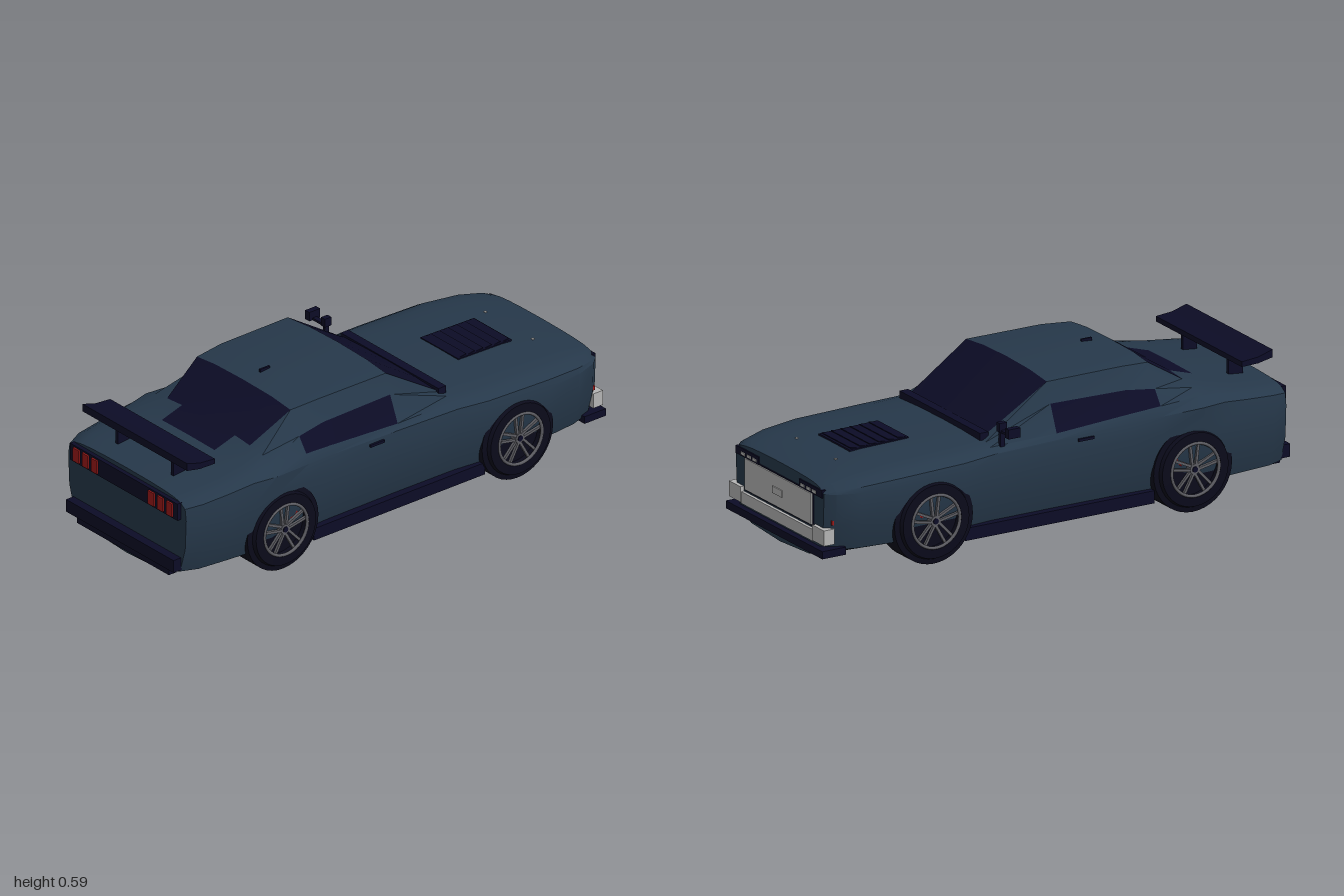
import * as THREE from 'three';
import { toCreasedNormals } from 'three/addons/utils/BufferGeometryUtils.js';

const mat = (name, color) => {
  const m = new THREE.MeshStandardMaterial({ color });
  m.name = name;
  return m;
};

export function createModel() {
  const paint = mat('slate paint', 0x26384a);
  const trim = mat('dark trim and glass', 0x0c0c26);
  const rubber = mat('tyre rubber', 0x0a0a1a);
  const silver = mat('light grey', 0xb4b4b4);
  const rimGrey = mat('rim grey', 0x5c5c62);
  const red = mat('red', 0x9c1a1a);

  const model = new THREE.Group();
  model.name = 'car';
  const car = new THREE.Group();
  car.name = 'carParts';
  car.position.z = 0.013;
  model.add(car);

  const add = (name, geometry, material, parent = car) => {
    const m = new THREE.Mesh(geometry, material);
    m.name = name;
    parent.add(m);
    return m;
  };
  // Box given by its limits on each axis
  const box = (name, material, x0, x1, y0, y1, z0, z1, parent = car) => {
    const m = add(name, new THREE.BoxGeometry(x1 - x0, y1 - y0, z1 - z0), material, parent);
    m.position.set((x0 + x1) / 2, (y0 + y1) / 2, (z0 + z1) / 2);
    return m;
  };
  // The same box on both sides of the car
  const pair = (name, material, x0, x1, y0, y1, z0, z1) => {
    box(name + 'Left', material, x0, x1, y0, y1, z0, z1);
    box(name + 'Right', material, x0, x1, y0, y1, -z1, -z0);
  };

  // Body: half sections [z, y] from the keel up to the centre line of the top
  const lower = w => [[0, 0.052], [w * 0.65, 0.064], [w - 0.035, 0.1], [w - 0.006, 0.2], [w, 0.32]];
  const deck = (x, w, ys, yt) => {
    const up = (k, t) => [w * k, ys + (yt - ys) * t];
    return { x, half: [...lower(w), up(0.98, 0), up(0.89, 0.55), up(0.78, 0.75), up(0.62, 0.88), up(0.39, 0.96), up(0, 1)] };
  };
  const cabin = (x, w, upper) => ({ x, half: [...lower(w), ...upper] });
  const sections = [
    deck(-0.965, 0.335, 0.365, 0.4),
    deck(-0.9, 0.362, 0.375, 0.408),
    deck(-0.78, 0.375, 0.385, 0.42),
    deck(-0.68, 0.384, 0.395, 0.44),
    cabin(-0.585, 0.385, [[0.39, 0.395], [0.355, 0.43], [0.305, 0.448], [0.235, 0.46], [0.15, 0.467], [0, 0.47]]),
    cabin(-0.42, 0.373, [[0.372, 0.385], [0.355, 0.42], [0.315, 0.475], [0.265, 0.562], [0.16, 0.573], [0, 0.576]]),
    cabin(-0.3, 0.368, [[0.363, 0.38], [0.35, 0.412], [0.305, 0.488], [0.275, 0.57], [0.16, 0.582], [0, 0.586]]),
    cabin(0.015, 0.365, [[0.36, 0.372], [0.346, 0.392], [0.303, 0.493], [0.278, 0.57], [0.16, 0.582], [0, 0.586]]),
    cabin(0.285, 0.367, [[0.36, 0.365], [0.33, 0.383], [0.295, 0.392], [0.262, 0.397], [0.15, 0.402], [0, 0.404]]),
    deck(0.42, 0.38, 0.358, 0.394),
    deck(0.7, 0.381, 0.35, 0.388),
    deck(0.85, 0.365, 0.34, 0.376),
    deck(0.94, 0.335, 0.33, 0.363),
    deck(0.975, 0.305, 0.322, 0.354),
  ];
  const ring = 20;
  const positions = [];
  for (const { x, half } of sections) {
    for (let j = 0; j < ring; j++) {
      const [z, y] = half[j <= 10 ? j : ring - j];
      positions.push(x, y, j <= 10 ? z : -z);
    }
  }
  const painted = [];
  const glazed = [];
  const isGlass = (i, j) => {
    const k = Math.min(j, 19 - j);
    if (i === 3) return k === 9;               // foot of the rear window
    if (i === 4 || i === 7) return k >= 8;     // rear window and windscreen
    return (i === 5 || i === 6) && k === 6;    // side windows
  };
  for (let i = 0; i < sections.length - 1; i++) {
    for (let j = 0; j < ring; j++) {
      const a = i * ring + j, d = i * ring + (j + 1) % ring;
      (isGlass(i, j) ? glazed : painted).push(a, a + ring, d + ring, a, d + ring, d);
    }
  }
  // Flat tail and nose
  for (const i of [0, sections.length - 1]) {
    const c = positions.length / 3;
    positions.push(sections[i].x, 0.22, 0);
    for (let j = 0; j < ring; j++) {
      const a = i * ring + j, b = i * ring + (j + 1) % ring;
      painted.push(c, ...(i === 0 ? [a, b] : [b, a]));
    }
  }
  const shell = new THREE.BufferGeometry();
  shell.setAttribute('position', new THREE.Float32BufferAttribute(positions, 3));
  shell.setIndex([...painted, ...glazed]);
  shell.addGroup(0, painted.length, 0);
  shell.addGroup(painted.length, glazed.length, 1);
  add('bodyShell', toCreasedNormals(shell, 0.45), [paint, trim]);

  // Sills, door handles, scuttle strip, aerial
  pair('sill', trim, -0.39, 0.41, 0.057, 0.105, 0.32, 0.362);
  pair('doorHandle', trim, -0.13, -0.065, 0.352, 0.362, 0.355, 0.371);
  box('scuttleStrip', trim, 0.262, 0.298, 0.395, 0.423, -0.278, 0.278);
  box('aerial', trim, -0.345, -0.3, 0.58, 0.594, -0.004, 0.004);

  // Bonnet vent with slats, and bonnet pins
  const vent = new THREE.Group();
  vent.name = 'bonnetVent';
  vent.position.set(0.62, 0.391, 0);
  vent.rotation.z = -0.022;
  car.add(vent);
  box('ventPanel', trim, -0.125, 0.125, -0.005, 0.002, -0.107, 0.107, vent);
  for (let i = 0; i < 6; i++) {
    const slat = box('ventSlat', trim, -0.018, 0.018, 0, 0.003, -0.1, 0.1, vent);
    slat.position.set(-0.1 + i * 0.04, 0.003, 0);
    slat.rotation.z = 0.15;
  }
  pair('bonnetPin', silver, 0.816, 0.826, 0.365, 0.38, 0.13, 0.14);

  // Front: grille, headlight strips, bumper, splitter
  box('grilleFrame', trim, 0.97, 0.979, 0.178, 0.307, -0.236, 0.236);
  box('grillePanel', silver, 0.975, 0.984, 0.184, 0.303, -0.23, 0.23);
  box('grillePlate', silver, 0.98, 0.988, 0.23, 0.256, -0.033, 0.033);
  pair('headlightStrip', trim, 0.955, 0.98, 0.303, 0.333, 0.14, 0.298);
  for (let i = 0; i < 3; i++) {
    const z = 0.152 + i * 0.04;
    pair('headlightBar', silver, 0.976, 0.983, 0.309, 0.32, z, z + 0.026);
  }
  box('frontBumper', silver, 0.965, 0.987, 0.126, 0.171, -0.25, 0.25);
  pair('bumperCorner', silver, 0.945, 0.99, 0.131, 0.19, 0.247, 0.328);
  pair('sideMarker', red, 0.945, 0.955, 0.203, 0.22, 0.319, 0.326);
  box('splitter', trim, 0.9, 1, 0.085, 0.114, -0.333, 0.333);

  // Rear: lamp panel, lamps, bumper
  box('lampPanel', trim, -0.982, -0.96, 0.315, 0.383, -0.305, 0.305);
  for (let i = 0; i < 3; i++) {
    const z = 0.145 + i * 0.052;
    pair('tailLamp', red, -0.989, -0.981, 0.322, 0.376, z, z + 0.032);
  }
  box('rearBumper', trim, -1, -0.955, 0.108, 0.158, -0.305, 0.305);
  box('rearValance', trim, -0.985, -0.95, 0.075, 0.1, -0.26, 0.26);

  // Rear wing on two struts
  const wingShape = new THREE.Shape();
  [[-0.93, 0.528], [-0.93, 0.498], [-0.87, 0.486], [-0.8, 0.484], [-0.8, 0.504], [-0.87, 0.51]]
    .forEach(([x, y], i) => (i ? wingShape.lineTo(x, y) : wingShape.moveTo(x, y)));
  const wing = add('rearWing', new THREE.ExtrudeGeometry(wingShape, { depth: 0.594, bevelEnabled: false }), trim);
  wing.position.z = -0.297;
  pair('wingStrut', trim, -0.885, -0.825, 0.4, 0.492, 0.15, 0.165);

  // Door mirror on the one side
  box('mirrorPost', trim, 0.23, 0.25, 0.38, 0.445, -0.34, -0.328);
  box('mirrorArm', trim, 0.23, 0.25, 0.436, 0.445, -0.42, -0.325);
  box('mirrorInner', trim, 0.225, 0.255, 0.438, 0.472, -0.344, -0.322);
  box('mirrorOuter', trim, 0.215, 0.265, 0.436, 0.472, -0.422, -0.398);

  // Wheels: the outer face points along +z, turned round for the far side
  const tyreProfile = [
    [0, 0.255], [0.14, 0.255], [0.145, 0.268], [0.166, 0.27], [0.166, 0.374], [0.146, 0.378],
    [0.14, 0.392], [0.106, 0.393], [0.104, 0.36], [0, 0.36],
  ].map(([r, z]) => new THREE.Vector2(r, z));
  const tyreGeometry = toCreasedNormals(new THREE.LatheGeometry(tyreProfile, 40).rotateX(Math.PI / 2), 0.5);
  const wheel = (name, x, side) => {
    const w = new THREE.Group();
    w.name = name;
    w.position.set(x, 0.166, 0);
    if (side < 0) w.rotation.y = Math.PI;
    car.add(w);
    add('tyre', tyreGeometry, rubber, w);
    add('rimRing', new THREE.TorusGeometry(0.1, 0.006, 8, 40), rimGrey, w).position.z = 0.391;
    const hub = add('hub', new THREE.CylinderGeometry(0.02, 0.024, 0.026, 16).rotateX(Math.PI / 2), rimGrey, w);
    hub.position.z = 0.375;
    add('hubCap', new THREE.CylinderGeometry(0.011, 0.011, 0.005, 16).rotateX(Math.PI / 2), trim, w).position.z = 0.389;
    for (let i = 0; i < 5; i++) {
      const spoke = new THREE.Group();
      spoke.name = 'spoke';
      spoke.rotation.z = Math.PI / 2 + (i * Math.PI * 2) / 5;
      w.add(spoke);
      for (const s of [-1, 1]) {
        const bar = box('spokeBar', rimGrey, 0, 0.085, -0.005, 0.005, 0.375, 0.386, spoke);
        bar.position.set(0.058, s * 0.013, 0.381);
        bar.rotation.z = s * 0.12;
      }
    }
    const caliper = box('brakeCaliper', red, -0.018, 0.018, -0.024, 0.024, 0.358, 0.372, w);
    caliper.position.set(side * 0.045, 0.045, 0.365);
    caliper.rotation.z = side * 0.75;
  };
  for (const side of [1, -1]) {
    const hand = side < 0 ? 'Far' : 'Near';
    wheel('rearWheel' + hand, -0.545, side);
    wheel('frontWheel' + hand, 0.553, side);
  }
  return model;
}
